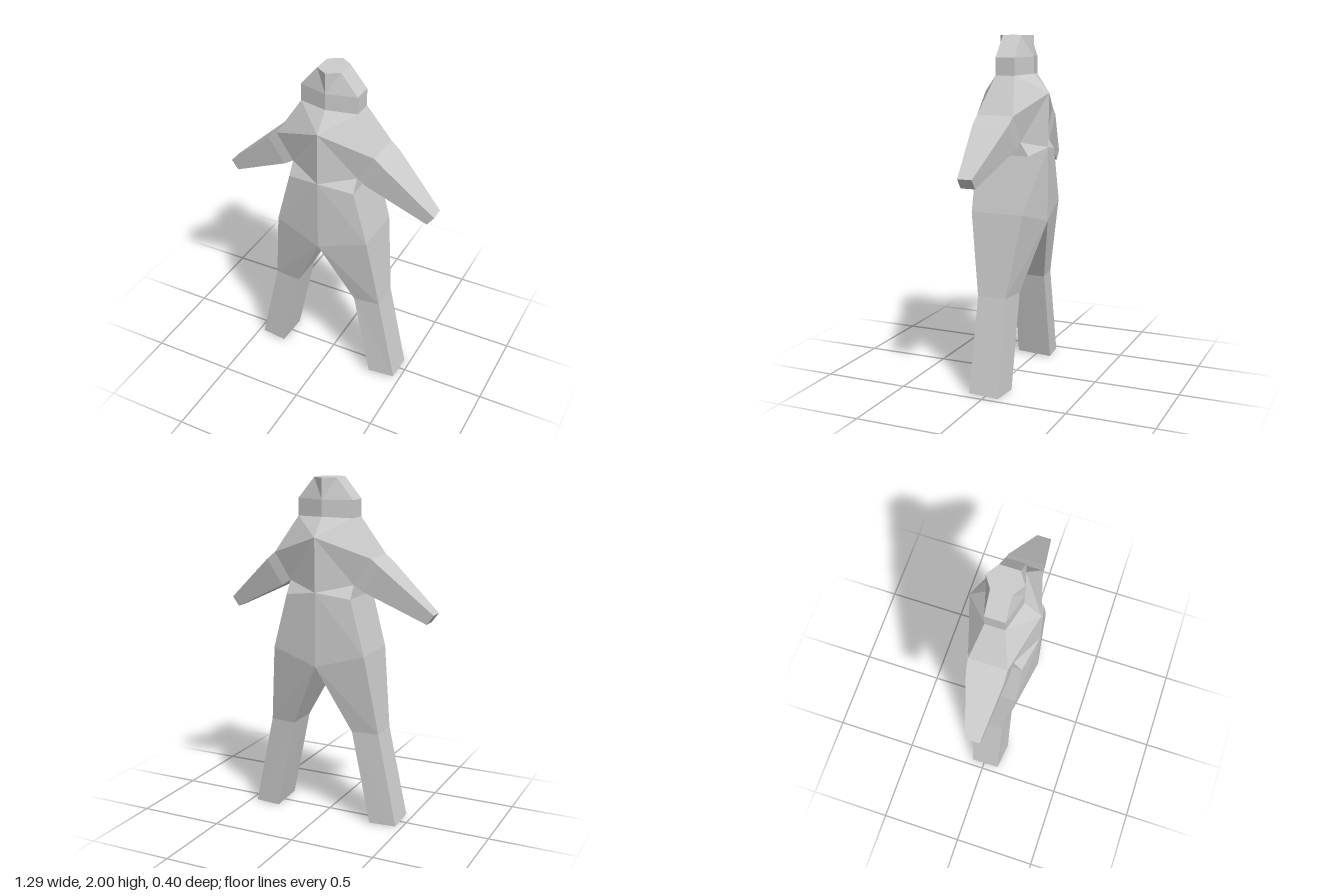
import * as THREE from 'three';

// Half-body landmarks: [x, y, front z, back z, back y if different]
const P = {
  crotch: [0, 0.94, 0.2, -0.195], belly: [0, 1.37, 0.2, -0.195], chest: [0, 1.68, 0.195, -0.2],
  throat: [0, 1.785, 0.1, -0.105], brow: [0, 1.88, 0.1, -0.105], crown: [0, 2, 0.1, -0.105],
  kneeIn: [0.19, 0.55, 0.105, -0.1], kneeOut: [0.347, 0.55, 0.09, -0.08],
  footIn: [0.305, 0.012, 0.115, -0.098, 0.002], footOut: [0.463, 0.01, 0.095, -0.08, 0],
  hip: [0.285, 1.02, 0.155, -0.155], waist: [0.2, 1.34, 0.158, -0.155],
  armpit: [0.2, 1.415, 0.11, -0.107], armLow: [0.255, 1.38, 0.11, -0.103],
  handLow: [0.603, 1.21, 0.065, -0.02], handTop: [0.643, 1.265, 0.065, -0.02],
  armTop: [0.355, 1.525, 0.11, -0.103], shoulder: [0.3, 1.57, 0.11, -0.107],
  neck: [0.17, 1.78, 0.055, -0.058], temple: [0.17, 1.88, 0.055, -0.058],
  crownSide: [0.07, 2, 0.055, -0.058],
};

// faces: polygons seen from the front, repeated on the back.
// rims: outline chains that join front to back.
const PARTS = {
  head: {
    faces: ['throat neck temple brow', 'brow temple crownSide', 'brow crownSide crown'],
    rims: ['neck temple crownSide crown'],
  },
  torso: {
    faces: ['chest armpit shoulder', 'chest belly armpit', 'chest shoulder neck', 'chest neck throat',
      'belly waist armpit', 'belly hip waist', 'belly crotch hip'],
    rims: ['hip waist armpit', 'shoulder neck'],
  },
  arm: {
    faces: ['armpit armLow armTop shoulder', 'armLow handLow handTop armTop'],
    rims: ['armpit armLow handLow handTop armTop shoulder'],
  },
  leg: {
    faces: ['crotch kneeIn kneeOut hip', 'kneeIn footIn footOut kneeOut'],
    rims: ['crotch kneeIn footIn footOut kneeOut hip'],
  },
};

// Build one half of a part; side is +1 (left) or -1 (right)
function halfPart({ faces, rims }, side) {
  const pos = [];
  const front = (n) => [side * P[n][0], P[n][1], P[n][2]];
  const back = (n) => [side * P[n][0], P[n][4] ?? P[n][1], P[n][3]];
  const polygon = (pts) => {
    const c = side > 0 ? pts : [...pts].reverse();
    // always fan from the same corner, so both halves are split alike
    const f = side > 0 ? c : [c[c.length - 1], ...c.slice(0, -1)];
    for (let i = 1; i < f.length - 1; i++) pos.push(...f[0], ...f[i], ...f[i + 1]);
  };
  for (const face of faces) {
    const names = face.split(' ');
    polygon(names.map(front));
    const b = names.map(back).reverse();
    polygon([b[b.length - 1], ...b.slice(0, -1)]);
  }
  for (const rim of rims) {
    const n = rim.split(' ');
    for (let i = 0; i < n.length - 1; i++) {
      polygon([front(n[i]), back(n[i]), back(n[i + 1]), front(n[i + 1])]);
    }
  }
  const geo = new THREE.BufferGeometry();
  geo.setAttribute('position', new THREE.Float32BufferAttribute(pos, 3));
  geo.computeVertexNormals();
  return geo;
}

export function createModel() {
  const model = new THREE.Group();
  model.name = 'figure';
  const material = new THREE.MeshStandardMaterial({ color: 0xcccccc, flatShading: true });
  for (const [name, part] of Object.entries(PARTS)) {
    for (const [side, label] of [[1, 'left'], [-1, 'right']]) {
      const mesh = new THREE.Mesh(halfPart(part, side), material);
      mesh.name = label + name[0].toUpperCase() + name.slice(1);
      model.add(mesh);
    }
  }
  return model;
}
